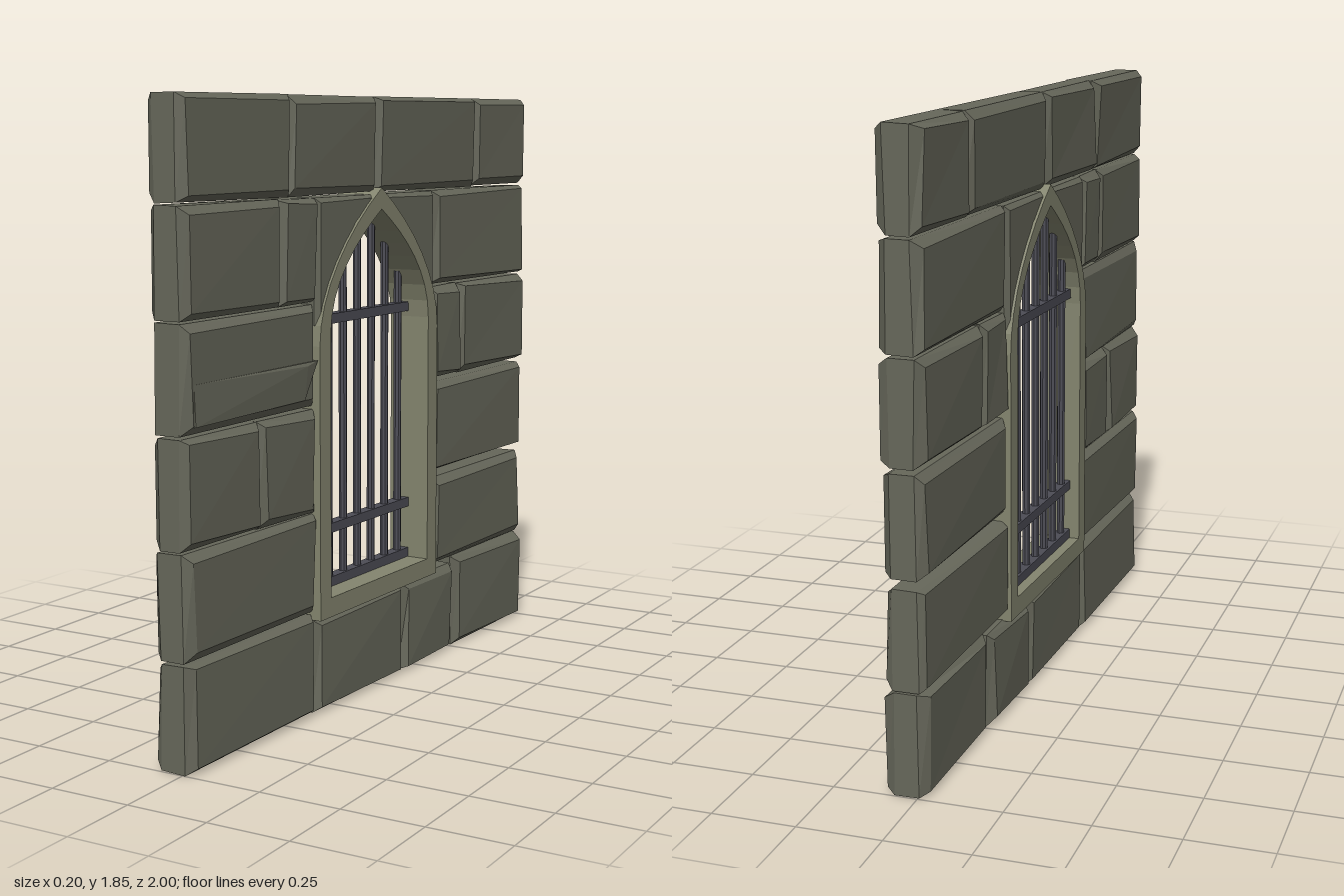
import * as THREE from 'three';
import { ConvexGeometry } from 'three/addons/geometries/ConvexGeometry.js';

const mat = (color) => new THREE.MeshStandardMaterial({ color, flatShading: true });

// small seeded generator for the hand-cut irregularity
let seed = 7;
const rand = (a, b) => {
  seed = (seed * 16807) % 2147483647;
  return a + (b - a) * (seed / 2147483647);
};

export function createModel() {
  const root = new THREE.Group();
  root.name = 'barredWindowWall';
  const stone = mat(0x66675a), trim = mat(0x84856f), iron = mat(0x4c4c55);
  const H = 0.064; // half thickness of the wall

  const add = (geo, material, name, parent) => {
    const m = new THREE.Mesh(geo, material);
    m.name = name;
    parent.add(m);
    return m;
  };

  // Brick: box with four loops through the wall; the two outer loops are inset as chamfers
  const brick = (z0, z1, y0, y1) => {
    const geo = new THREE.BoxGeometry(1, 1, 1, 3, 1, 1);
    const p = geo.attributes.position, moved = {};
    for (let i = 0; i < p.count; i++) {
      const col = Math.round((p.getX(i) + 0.5) * 3);
      const sy = Math.sign(p.getY(i)), sz = Math.sign(p.getZ(i));
      const key = `${col},${sy},${sz}`;
      if (!moved[key]) {
        const outer = col === 0 || col === 3, side = col < 2 ? -1 : 1;
        const iy = outer ? rand(0.012, 0.03) : rand(0, 0.004);
        const iz = outer ? rand(0.012, 0.032) : 0;
        moved[key] = [
          side * (outer ? H + rand(-0.006, 0.004) : H - rand(0.02, 0.032)),
          sy > 0 ? y1 - iy : y0 + iy,
          sz > 0 ? z1 - iz : z0 + iz,
        ];
      }
      p.setXYZ(i, ...moved[key]);
    }
    const flat = geo.toNonIndexed();
    flat.computeVertexNormals();
    return flat;
  };

  // Courses: y range, then z ranges of the bricks
  const bricks = new THREE.Group();
  bricks.name = 'bricks';
  root.add(bricks);
  const courses = [
    [0, 0.31, [[0.36, 1]]],
    [0, 0.295, [[-0.16, 0.36], [-0.495, -0.165]]],
    [0, 0.31, [[-1, -0.515]]],
    [0.315, 0.62, [[0.35, 1]]],
    [0.31, 0.608, [[-1, -0.35]]],
    [0.62, 0.935, [[0.64, 1], [0.35, 0.64]]],
    [0.63, 0.928, [[-1, -0.35]]],
    [0.94, 1.245, [[0.35, 1], [-0.54, -0.345], [-1, -0.54]]],
    [1.248, 1.558, [[0.53, 1], [0.345, 0.53], [-1, -0.355]]],
    [1.56, 1.853, [[0.48, 1], [0, 0.48], [-0.635, 0], [-1, -0.635]]],
  ];
  for (const [y0, y1, spans] of courses)
    for (const [z0, z1] of spans) add(brick(z0, z1, y0, y1), stone, 'brick', bricks);

  // Chipped slab on the face of one brick
  const chip = [[0.97, 1.08], [0.42, 1.07], [0.36, 1.08], [0.97, 0.965], [0.43, 0.97]].flatMap(
    ([z, y], i) => [new THREE.Vector3(0.05, y, z), new THREE.Vector3(0.066 + (i % 2) * 0.005, y, z)]);
  add(new ConvexGeometry(chip), stone, 'chippedStone', bricks);

  // Shapes are drawn as (z, y) and extruded through the wall
  const throughWall = (shape, half, bevel) => {
    const geo = new THREE.ExtrudeGeometry(shape, {
      depth: 2 * (half - bevel), curveSegments: 8, bevelEnabled: bevel > 0,
      bevelThickness: bevel, bevelSize: bevel, bevelOffset: -bevel, bevelSegments: 1,
    });
    geo.translate(0, 0, -(half - bevel));
    geo.rotateY(-Math.PI / 2);
    return geo;
  };

  // Corner stones either side of the arch
  for (const s of [1, -1]) {
    const pts = [[0.35, 1.555], [0.01, 1.555], [0.02, 1.535], [0.13, 1.465], [0.24, 1.345], [0.32, 1.18], [0.35, 1.18]];
    const shape = new THREE.Shape(pts.map(([z, y]) => new THREE.Vector2(s * z, y)));
    add(throughWall(shape, H - 0.002, 0.015), stone, 'archCornerStone', bricks);
  }

  // Pointed window frame
  const arch = (path, w, base, spring, c1, c2x, c2y, apex) => {
    path.moveTo(-w, base);
    path.lineTo(w, base);
    path.lineTo(w, spring);
    path.bezierCurveTo(w, c1, c2x, c2y, 0, apex);
    path.bezierCurveTo(-c2x, c2y, -w, c1, -w, spring);
    path.lineTo(-w, base);
    return path;
  };
  const frame = arch(new THREE.Shape(), 0.355, 0.29, 1.12, 1.28, 0.2, 1.45, 1.575);
  const hole = arch(new THREE.Path(), 0.295, 0.35, 1.15, 1.3, 0.15, 1.42, 1.51);
  frame.holes.push(hole);
  add(throughWall(frame, 0.07, 0), trim, 'windowFrame', root);

  // Iron grille: upright bars rising to the arch, crossed by flat bars
  const grille = new THREE.Group();
  grille.name = 'grille';
  grille.position.x = -0.02;
  root.add(grille);
  const tops = [1.515, 1.49, 1.43, 1.3];
  for (let i = -3; i <= 3; i++) {
    const top = tops[Math.abs(i)];
    const bar = add(new THREE.CylinderGeometry(0.013, 0.013, top - 0.34, 8), iron, 'uprightBar', grille);
    bar.position.set(0, (top + 0.34) / 2, i * 0.084);
  }
  for (const y of [0.366, 0.535, 1.183]) {
    const bar = add(new THREE.BoxGeometry(0.036, 0.03, 0.595), iron, 'crossBar', grille);
    bar.position.y = y;
  }

  // the wall stands slightly turned
  root.rotation.y = -0.031;
  return root;
}
